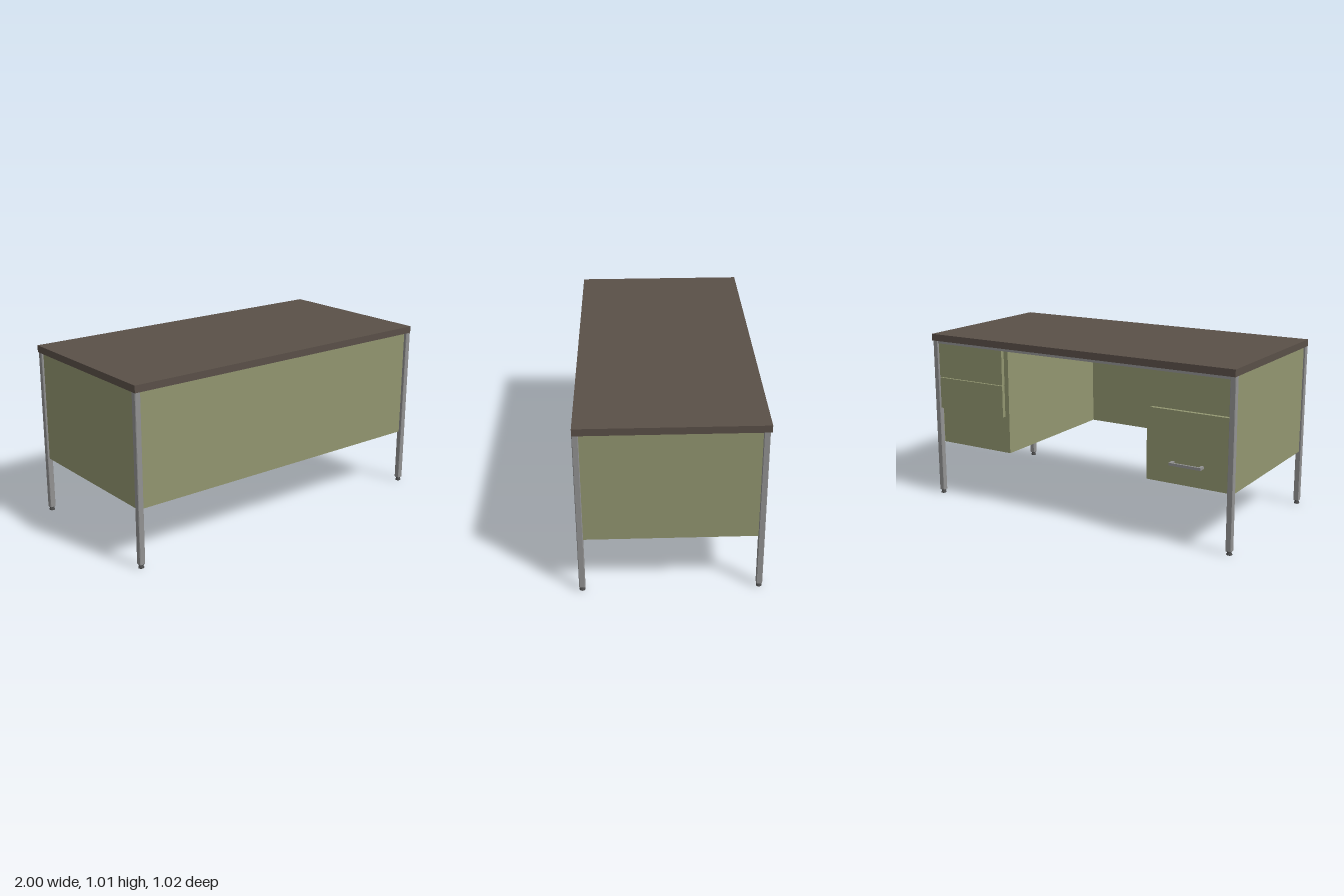
import * as THREE from 'three';

const mat = (name, color, extra = {}) => {
  const m = new THREE.MeshStandardMaterial({ color, ...extra });
  m.name = name;
  return m;
};

export function createModel() {
  const green = mat('olive panel', 0x929670);
  const brown = mat('brown top', 0x5a5048);
  const steel = mat('grey steel', 0x929292);
  const rubber = mat('dark foot', 0x4a4a4a);

  const desk = new THREE.Group();
  desk.name = 'desk';

  const add = (name, geometry, material) => {
    const mesh = new THREE.Mesh(geometry, material);
    mesh.name = name;
    desk.add(mesh);
    return mesh;
  };
  // Box given by its limits on each axis
  const box = (name, material, x0, x1, y0, y1, z0, z1) => {
    const mesh = add(name, new THREE.BoxGeometry(x1 - x0, y1 - y0, z1 - z0), material);
    mesh.position.set((x0 + x1) / 2, (y0 + y1) / 2, (z0 + z1) / 2);
    return mesh;
  };

  // Desk top and the front modesty panel
  box('deskTop', brown, -1, 1, 0.967, 1.007, -0.49, 0.51);
  box('frontPanel', green, -0.968, 0.968, 0.33, 0.967, 0.47, 0.492);

  // Square legs with slightly chamfered corners
  const h = 0.0165, c = 0.003;
  const section = new THREE.Shape([
    [-h + c, -h], [h - c, -h], [h, -h + c], [h, h - c],
    [h - c, h], [-h + c, h], [-h, h - c], [-h, -h + c],
  ].map(([x, y]) => new THREE.Vector2(x, y)));
  const legGeometry = new THREE.ExtrudeGeometry(section, { depth: 0.945, bevelEnabled: false });
  legGeometry.rotateX(-Math.PI / 2);

  // Flared levelling foot
  const footGeometry = new THREE.LatheGeometry([
    [0, 0], [0.016, 0], [0.016, 0.004], [0.010, 0.017],
    [0.015, 0.018], [0.015, 0.023], [0, 0.023],
  ].map(([x, y]) => new THREE.Vector2(x, y)), 16).toNonIndexed();
  footGeometry.computeVertexNormals();

  for (const side of [-1, 1]) {
    const label = side > 0 ? 'left' : 'right';
    for (const [end, z] of [['Front', 0.4935], ['Back', -0.4645]]) {
      add(label + end + 'Leg', legGeometry, steel).position.set(side * 0.9835, 0.022, z);
      add(label + end + 'Foot', footGeometry, rubber).position.set(side * 0.9835, 0, z);
    }
    // Side panel and drawer pedestal
    const span = (a, b) => (side > 0 ? [a, b] : [-b, -a]);
    box(label + 'SidePanel', green, ...span(0.968, 0.988), 0.33, 0.967, -0.45, 0.48);
    box(label + 'Pedestal', green, ...span(0.466, 0.968), 0.33, 0.967, -0.447, 0.47);
  }

  // Drawer fronts standing proud of the pedestals
  const drawerZ = [-0.47, -0.447];
  box('leftUpperDrawer', green, 0.495, 0.966, 0.743, 0.95, ...drawerZ);
  box('leftMiddleDrawer', green, 0.495, 0.966, 0.55, 0.739, ...drawerZ);
  box('rightFileDrawer', green, -0.966, -0.5, 0.355, 0.745, ...drawerZ);

  // Rail under the back edge of the top
  box('backRail', steel, -0.967, 0.967, 0.95, 0.967, -0.476, -0.447);

  // Bar handle on the file drawer
  box('handleBar', steel, -0.825, -0.635, 0.45, 0.465, -0.51, -0.498);
  for (const x of [-0.825, -0.65]) {
    box('handlePost', steel, x, x + 0.015, 0.45, 0.465, -0.499, -0.469);
  }

  return desk;
}
